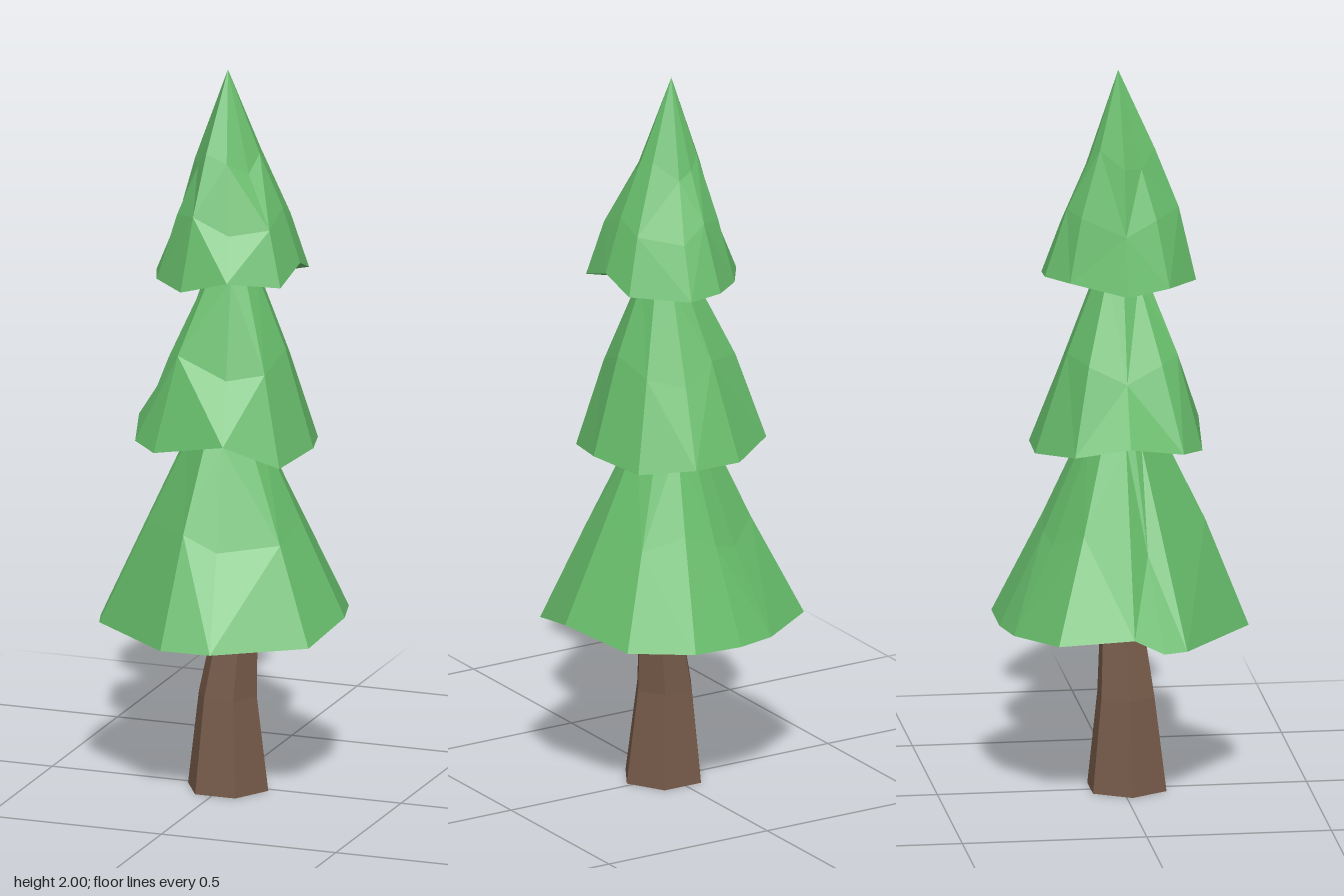
import * as THREE from 'three';

// Flat-shaded solid skinned over rings of [x, y, z] points, closed at both ends
function skin(rings, bottom, top) {
  const pos = [];
  const tri = (a, b, c) => pos.push(...a, ...b, ...c);
  const n = rings[0].length;
  for (let i = 0; i < n; i++) {
    const j = (i + 1) % n;
    tri(bottom, rings[0][i], rings[0][j]);
    for (let k = 0; k < rings.length - 1; k++) {
      const lo = rings[k], hi = rings[k + 1];
      // alternate the diagonal for irregular facets
      if ((i + k) % 2) {
        tri(lo[i], hi[i], lo[j]);
        tri(lo[j], hi[i], hi[j]);
      } else {
        tri(lo[i], hi[j], lo[j]);
        tri(lo[i], hi[i], hi[j]);
      }
    }
    const last = rings[rings.length - 1];
    tri(last[i], top, last[j]);
  }
  const geo = new THREE.BufferGeometry();
  geo.setAttribute('position', new THREE.Float32BufferAttribute(pos, 3));
  geo.computeVertexNormals();
  return geo;
}

// Foliage tier: uneven rim, then levels [scale, y, x shift, unevenness] up to a tip
function tierGeometry({ rim, base, levels, tip }) {
  const rings = [rim];
  levels.forEach(([s, y, dx, rough], k) => {
    rings.push(rim.map(([x, , z], i) => {
      const wobble = Math.sin(i * 2.4 + k * 1.7);
      const f = s * (1 + rough * wobble);
      return [x * f + dx, y + rough * 0.6 * Math.cos(i * 1.9 + k), z * f];
    }));
  });
  return skin(rings, [0, base, 0], tip);
}

const tiers = [
  {
    name: 'lowerFoliage', base: 0.46, tip: [0, 1.1, 0],
    rim: [
      [0.335, 0.5, -0.01], [0.3, 0.46, 0.175], [0.075, 0.46, 0.33], [-0.065, 0.46, 0.335],
      [-0.315, 0.46, 0.135], [-0.335, 0.46, 0.07], [-0.335, 0.5, -0.01], [-0.295, 0.48, -0.21],
      [-0.13, 0.47, -0.31], [-0.02, 0.47, -0.335], [0.125, 0.475, -0.337], [0.268, 0.47, -0.22],
    ],
    levels: [[0.63, 0.73, 0, 0.05], [0.31, 0.98, 0, 0.02]],
  },
  {
    name: 'middleFoliage', base: 0.945, tip: [0.01, 1.58, 0],
    rim: [
      [0.245, 0.965, -0.01], [0.205, 0.945, 0.145], [0.07, 1.01, 0.217], [-0.135, 0.97, 0.2],
      [-0.21, 0.98, 0.14], [-0.255, 1.01, -0.01], [-0.21, 0.98, -0.155], [-0.07, 0.96, -0.245],
      [0.065, 0.96, -0.243], [0.2, 0.95, -0.165],
    ],
    levels: [[0.66, 1.2, 0.005, 0.06], [0.29, 1.43, 0.015, 0.02]],
  },
  {
    name: 'upperFoliage', base: 1.42, tip: [0, 2, -0.01],
    rim: [
      [0.207, 1.48, -0.01], [0.195, 1.44, 0.11], [0.07, 1.46, 0.187], [-0.06, 1.425, 0.193],
      [-0.16, 1.43, 0.108], [-0.205, 1.42, -0.01], [-0.11, 1.44, -0.155], [-0.03, 1.44, -0.213],
      [0.06, 1.43, -0.21], [0.195, 1.44, -0.11],
    ],
    levels: [[0.74, 1.6, 0.005, 0.05], [0.43, 1.76, 0, 0.05]],
  },
];

export function createModel() {
  const tree = new THREE.Group();
  tree.name = 'pineTree';
  const green = new THREE.MeshStandardMaterial({ color: 0x66bb6a, flatShading: true });
  const brown = new THREE.MeshStandardMaterial({ color: 0x755a48, flatShading: true });

  const add = (name, geo, material) => {
    const mesh = new THREE.Mesh(geo, material);
    mesh.name = name;
    tree.add(mesh);
  };

  // Bent six-sided trunk: y, centre x, centre z, radius
  const trunkRings = [
    [0, 0.01, 0.015, 0.115],
    [0.26, 0.008, 0.012, 0.083],
    [0.46, 0.028, 0.003, 0.062],
    [0.52, 0.028, 0, 0.058],
  ].map(([y, cx, cz, r]) => Array.from({ length: 6 }, (_, i) => {
    const a = (i * Math.PI) / 3;
    return [cx + r * Math.cos(a), y, cz + r * Math.sin(a)];
  }));
  add('trunk', skin(trunkRings, [0.01, 0, 0.015], [0.028, 0.52, 0]), brown);

  // Three stacked foliage tiers
  for (const tier of tiers) add(tier.name, tierGeometry(tier), green);
  return tree;
}
